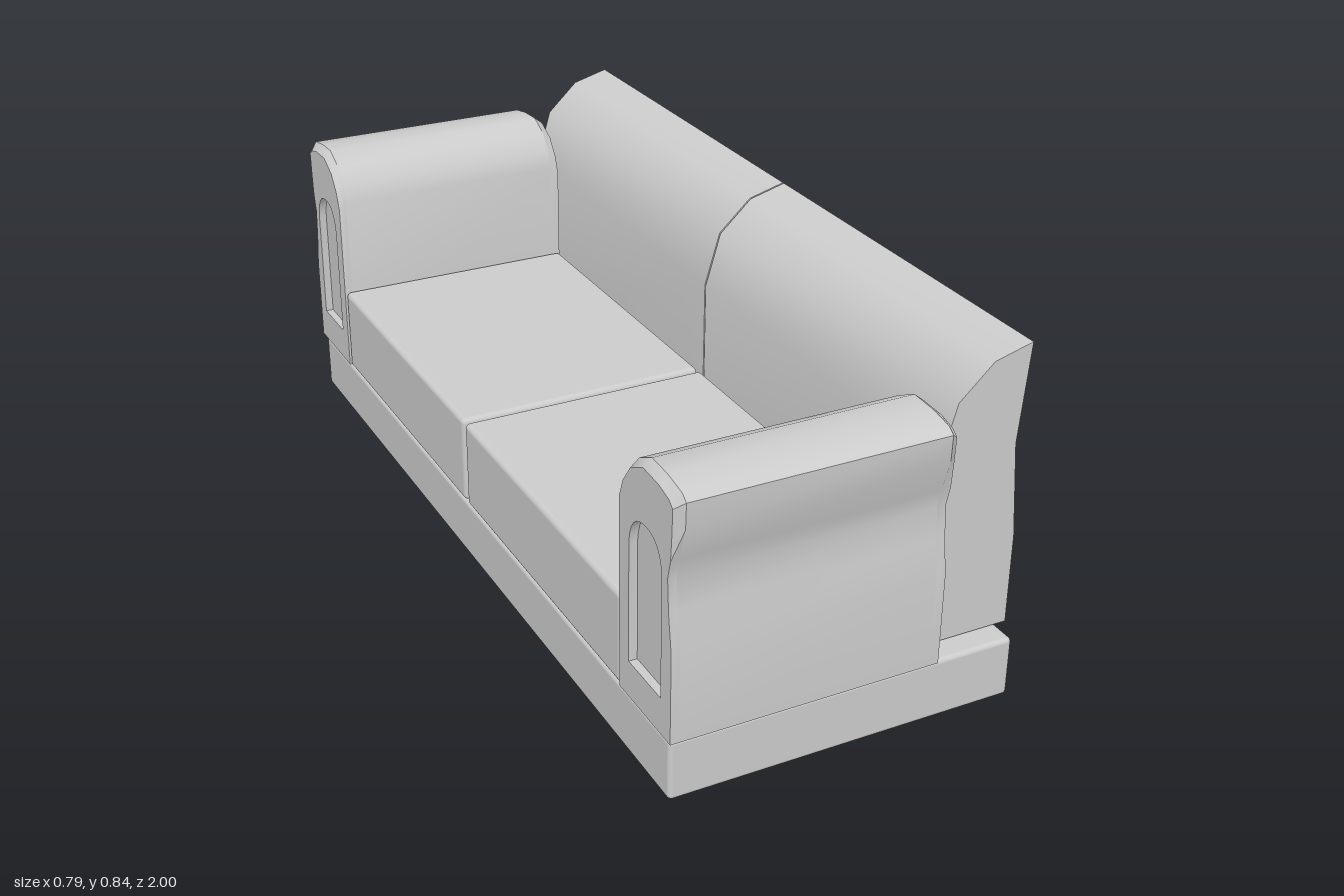
import * as THREE from 'three';
import { toCreasedNormals } from 'three/addons/utils/BufferGeometryUtils.js';
import { RoundedBoxGeometry } from 'three/addons/geometries/RoundedBoxGeometry.js';

const grey = new THREE.MeshStandardMaterial({ color: 0xcccccc });
const facetted = new THREE.MeshStandardMaterial({ color: 0xcccccc, flatShading: true });

function addMesh(parent, name, geometry, material = grey) {
  const mesh = new THREE.Mesh(geometry, material);
  mesh.name = name;
  parent.add(mesh);
  return mesh;
}

// Rounded box given by its limits on each axis
function roundedBox([x0, x1], [y0, y1], [z0, z1], radius) {
  const g = new RoundedBoxGeometry(x1 - x0, y1 - y0, z1 - z0, 3, radius);
  return g.translate((x0 + x1) / 2, (y0 + y1) / 2, (z0 + z1) / 2);
}

const shapeOf = points => new THREE.Shape(points.map(p => new THREE.Vector2(...p)));

// Arm cross-section as [distance from the middle, height]
const armProfile = [
  [0.775, 0.22], [0.775, 0.655], [0.79, 0.695], [0.82, 0.735], [0.87, 0.76],
  [0.93, 0.757], [0.985, 0.747], [1.0, 0.735], [0.998, 0.68], [0.978, 0.61],
  [0.968, 0.57], [0.973, 0.5], [0.985, 0.42], [0.985, 0.22],
];

// Arched opening of the recessed arm front
function archPath(side) {
  const path = new THREE.Path();
  path.moveTo(-side * 0.815, 0.30);
  path.lineTo(-side * 0.945, 0.30);
  path.lineTo(-side * 0.945, 0.56);
  path.quadraticCurveTo(-side * 0.94, 0.63, -side * 0.88, 0.63);
  path.quadraticCurveTo(-side * 0.82, 0.63, -side * 0.815, 0.56);
  path.closePath();
  return path;
}

// One length of arm from x0 to x1; the padded rim is drawn in at x = taperAt
function armSection(side, x0, x1, taperAt, withArch) {
  const shape = shapeOf(armProfile.map(([z, y]) => [-side * z, y]));
  if (withArch) shape.holes.push(archPath(side));
  const g = new THREE.ExtrudeGeometry(shape, { depth: x1 - x0, bevelEnabled: false, curveSegments: 6 });
  g.rotateY(Math.PI / 2).translate(x0, 0, 0);
  const p = g.attributes.position;
  for (let i = 0; i < p.count; i++) {
    if (taperAt === null || Math.abs(p.getX(i) - taperAt) > 0.001) continue;
    const y = p.getY(i), z = Math.abs(p.getZ(i));
    if (y > 0.64) {
      p.setY(i, y - 0.016);
      if (z > 0.95) p.setZ(i, side * (z - 0.016));
    }
  }
  return toCreasedNormals(g, 0.6);
}

export function createModel() {
  const sofa = new THREE.Group();
  sofa.name = 'sofa';

  addMesh(sofa, 'base', roundedBox([-0.393, 0.377], [0.08, 0.215], [-0.973, 0.973], 0.01));

  // Tapered legs
  for (const x of [-0.265, 0.285]) {
    for (const z of [-0.815, 0.84]) {
      const leg = new THREE.CylinderGeometry(0.053, 0.022, 0.085, 8).rotateY(Math.PI / 8);
      addMesh(sofa, 'leg', leg, facetted).position.set(x, 0.0425, z);
    }
  }

  // Back cushion outline in x and y
  const backShape = shapeOf([
    [0.2, 0.22], [0.395, 0.22], [0.395, 0.42], [0.377, 0.63],
    [0.395, 0.843], [0.31, 0.82], [0.235, 0.75], [0.2, 0.63],
  ]);

  for (const side of [-1, 1]) {
    const label = side > 0 ? 'front' : 'rear';

    const zs = [side * 0.005, side * 0.774].sort((a, b) => a - b);
    addMesh(sofa, label + 'SeatCushion', roundedBox([-0.396, 0.188], [0.218, 0.422], zs, 0.012));

    const back = new THREE.ExtrudeGeometry(backShape, { depth: 0.92, bevelEnabled: false });
    back.translate(0, 0, side > 0 ? 0.002 : -0.922);
    addMesh(sofa, label + 'BackCushion', toCreasedNormals(back, 0.6));

    // Arm: arched facing, main body and tapered rear end
    const arm = new THREE.Group();
    arm.name = label + 'Arm';
    addMesh(arm, 'armFacing', armSection(side, -0.398, -0.38, -0.398, true));
    addMesh(arm, 'armBody', armSection(side, -0.38, 0.17, null, false));
    addMesh(arm, 'armRearEnd', armSection(side, 0.17, 0.19, 0.19, false));
    sofa.add(arm);
  }

  return sofa;
}
